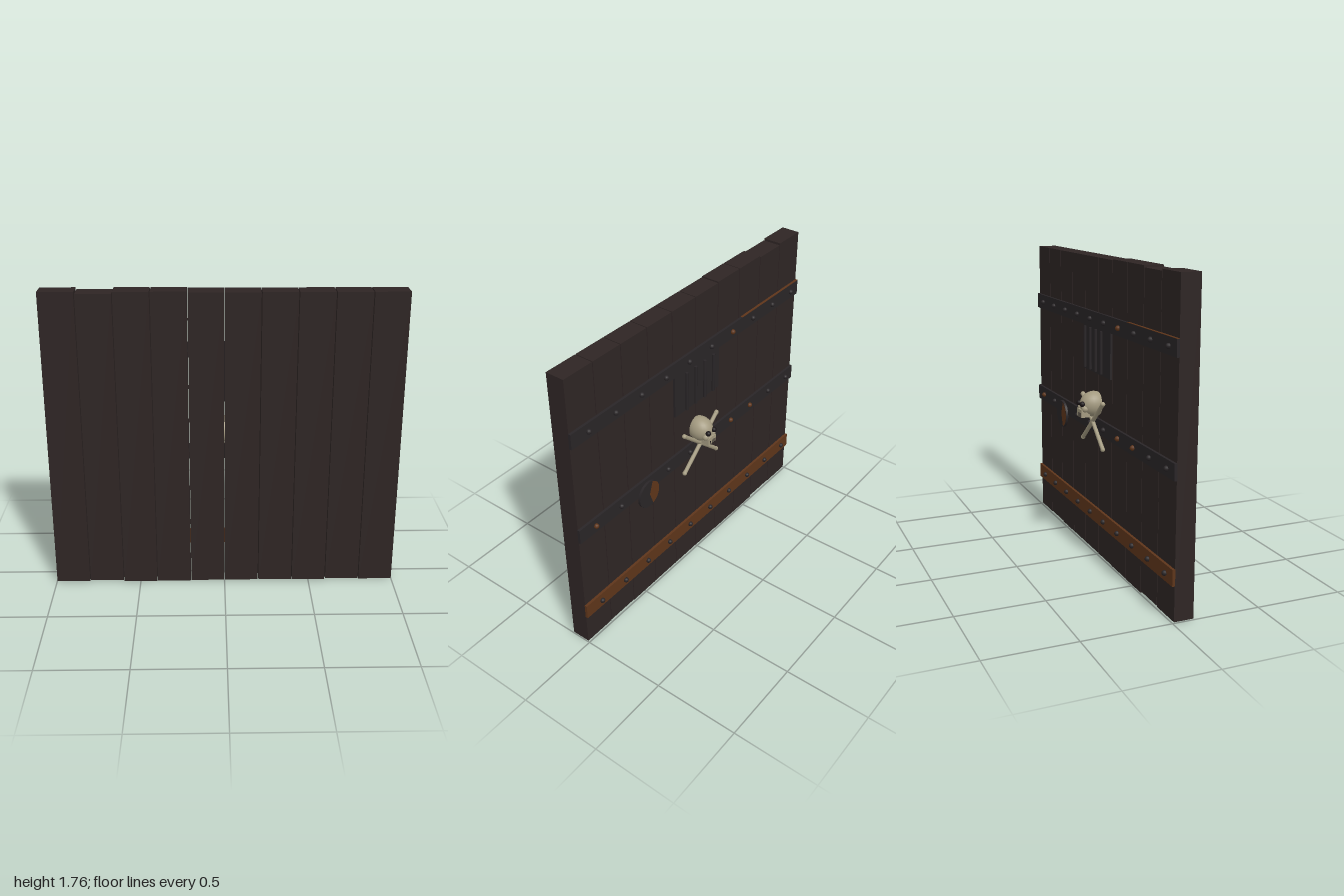
import * as THREE from 'three';

const mat = (name, color) => {
  const m = new THREE.MeshStandardMaterial({ color });
  m.name = name;
  return m;
};

export function createModel() {
  const wood = mat('dark wood', 0x2e2524);
  const iron = mat('black iron', 0x292527);
  const rust = mat('rust', 0x5e351a);
  const bone = mat('bone', 0xa39a80);
  const hollow = mat('hollow black', 0x191416);
  const door = new THREE.Group();
  door.name = 'door';

  const add = (name, geo, material, x, y, z, parent = door) => {
    const m = new THREE.Mesh(geo, material);
    m.name = name;
    m.position.set(x, y, z);
    parent.add(m);
    return m;
  };
  const box = (w, h, d) => new THREE.BoxGeometry(w, h, d);

  // Ten planks with slightly uneven ends
  const ends = [[0.005, 1.76], [0.01, 1.75], [0, 1.76], [0.002, 1.76], [0.005, 1.755],
    [0.006, 1.755], [0.006, 1.755], [0.005, 1.755], [0.01, 1.755], [0.006, 1.755]];
  ends.forEach(([a, b], i) =>
    add('plank', box(0.195, b - a, 0.11), wood, -0.9 + i * 0.2, (a + b) / 2, 0.064));

  // Three straps, each with a row of studs, some of them rusty
  const straps = [
    { y: 0.245, material: rust, rusty: [] },
    { y: 0.795, material: iron, rusty: [2, 3, 9] },
    { y: 1.405, material: iron, rusty: [3] },
  ];
  const stud = new THREE.SphereGeometry(0.015, 10, 8);
  for (const { y, material, rusty } of straps) {
    add('strap', box(2, 0.09, 0.016), material, 0, y, 0.002);
    for (let i = 0; i < 10; i++) {
      add('stud', stud, rusty.includes(i) ? rust : iron, -0.92 + i * 0.2, y, -0.011);
    }
  }
  add('rustyStrapEdge', box(0.58, 0.002, 0.016), rust, -0.71, 1.451, 0.002);

  // Peephole plate with four upright bars
  add('grillePlate', box(0.4, 0.27, 0.012), iron, 0, 1.235, 0.003);
  for (const x of [-0.12, -0.04, 0.04, 0.12]) {
    add('grilleBar', new THREE.CylinderGeometry(0.009, 0.009, 0.24, 8), iron, x, 1.24, -0.024);
  }

  // Round handle disc with a rusted patch on its face
  const disc = new THREE.Group();
  disc.name = 'handleDisc';
  disc.position.set(0.48, 0.76, -0.033);
  disc.rotation.y = Math.PI;
  door.add(disc);
  add('disc', new THREE.CylinderGeometry(0.083, 0.083, 0.014, 24).rotateX(Math.PI / 2), iron, 0, 0, 0, disc);
  add('rustPatch', new THREE.CircleGeometry(0.08, 16, -1.25, 2.5), rust, 0, 0, 0.0078, disc);
  add('handlePin', new THREE.CylinderGeometry(0.012, 0.012, 0.03, 8).rotateX(Math.PI / 2), iron, 0, 0, -0.015, disc);

  // Skull facing the back of the door
  const skull = new THREE.Group();
  skull.name = 'skull';
  door.add(skull);
  add('cranium', new THREE.SphereGeometry(0.074, 24, 16).scale(0.9, 1, 1.08), bone, 0, 0.925, -0.022, skull);
  add('jaw', box(0.07, 0.045, 0.05), bone, 0, 0.878, -0.083, skull);
  for (const s of [-1, 1]) {
    add('eyeSocket', new THREE.SphereGeometry(0.016, 12, 8), hollow, s * 0.026, 0.933, -0.1, skull);
    add('cheek', new THREE.SphereGeometry(0.02, 12, 8), bone, s * 0.03, 0.905, -0.085, skull);
  }
  for (let i = -1; i <= 1; i++) {
    add('toothGap', box(0.004, 0.024, 0.002), hollow, i * 0.017, 0.868, -0.1085, skull);
  }

  // Crossed bones under the skull
  for (const s of [-1, 1]) {
    const b = new THREE.Group();
    b.name = 'crossBone';
    b.position.set(0, 0.822, -0.026);
    b.rotation.z = s * 0.855;
    door.add(b);
    add('shaft', new THREE.CylinderGeometry(0.012, 0.012, 0.41, 10), bone, 0, 0, 0, b);
    for (const e of [-1, 1]) {
      add('boneEnd', new THREE.SphereGeometry(0.014, 10, 8), bone, 0, e * 0.2, 0, b);
    }
  }
  return door;
}
